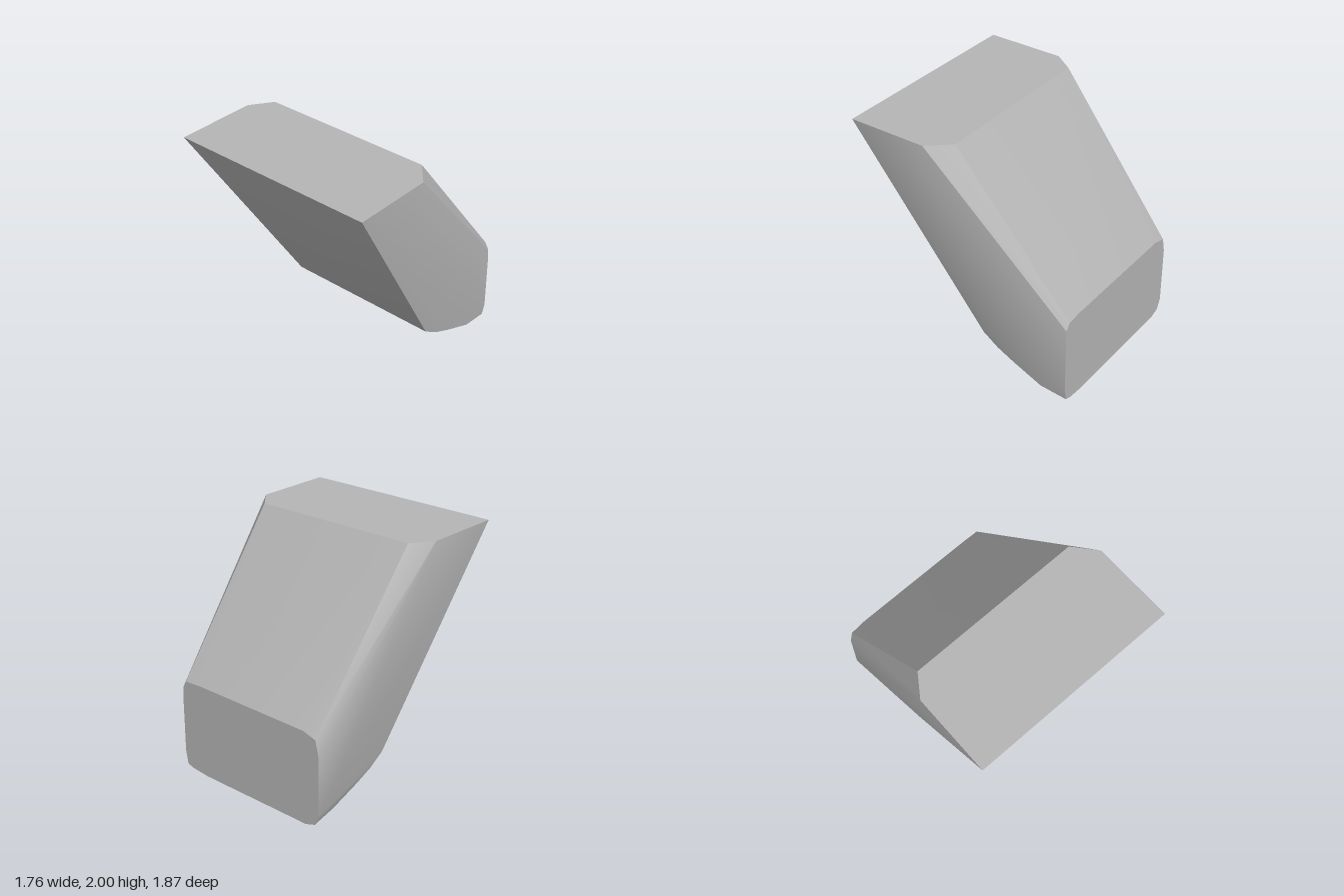
import * as THREE from 'three';
import { ConvexGeometry } from 'three/addons/geometries/ConvexGeometry.js';
import { toCreasedNormals } from 'three/addons/utils/BufferGeometryUtils.js';

// The block is turned slightly about y, so depth shifts with x
const SKEW = 0.0243;
const point = (x, y, z) => new THREE.Vector3(x, y, z - SKEW * x);

export function createModel() {
  const group = new THREE.Group();
  group.name = 'leaningBlock';
  const grey = new THREE.MeshStandardMaterial({ color: 0xb4b4b4 });
  grey.name = 'grey';

  // Flat six-sided top, as x, z
  const top = [
    [-0.87, 0.909], [0.88, 0.911], [0.86, 0.24], [0.7, 0.06], [-0.76, 0.062], [-0.88, 0.24],
  ].map(([x, z]) => point(x, 2, z));

  // Upright back end with rounded corners, as x, y
  const back = [
    [-0.78, 0.62], [-0.75, 0.75], [-0.63, 0.785], [0.47, 0.79], [0.62, 0.78], [0.655, 0.72],
    [0.66, 0.6], [0.66, 0.15], [0.64, 0.035], [0.58, 0.015], [0.42, 0], [-0.65, 0],
    [-0.74, 0.03], [-0.78, 0.12],
  ].map(([x, y]) => point(x, y, -0.924));

  // Curved underside: edge height, middle height, depth
  const underside = [
    [0.32, 0.32, -0.13], [0.23, 0.205, -0.27], [0.16, 0.105, -0.43], [0.06, 0.025, -0.69],
  ].flatMap(([edgeY, midY, z]) => [
    point(-0.715, edgeY, z), point(-0.6, midY, z), point(0.52, midY, z), point(0.653, edgeY, z),
  ]);

  // Slight fullness of the two sides near the top
  const sides = [point(-0.872, 1.7, 0.22), point(0.862, 1.72, 0.25)];

  const hull = new ConvexGeometry([...top, ...back, ...underside, ...sides]);
  const body = new THREE.Mesh(toCreasedNormals(hull, 0.5), grey);
  body.name = 'body';
  group.add(body);
  return group;
}
